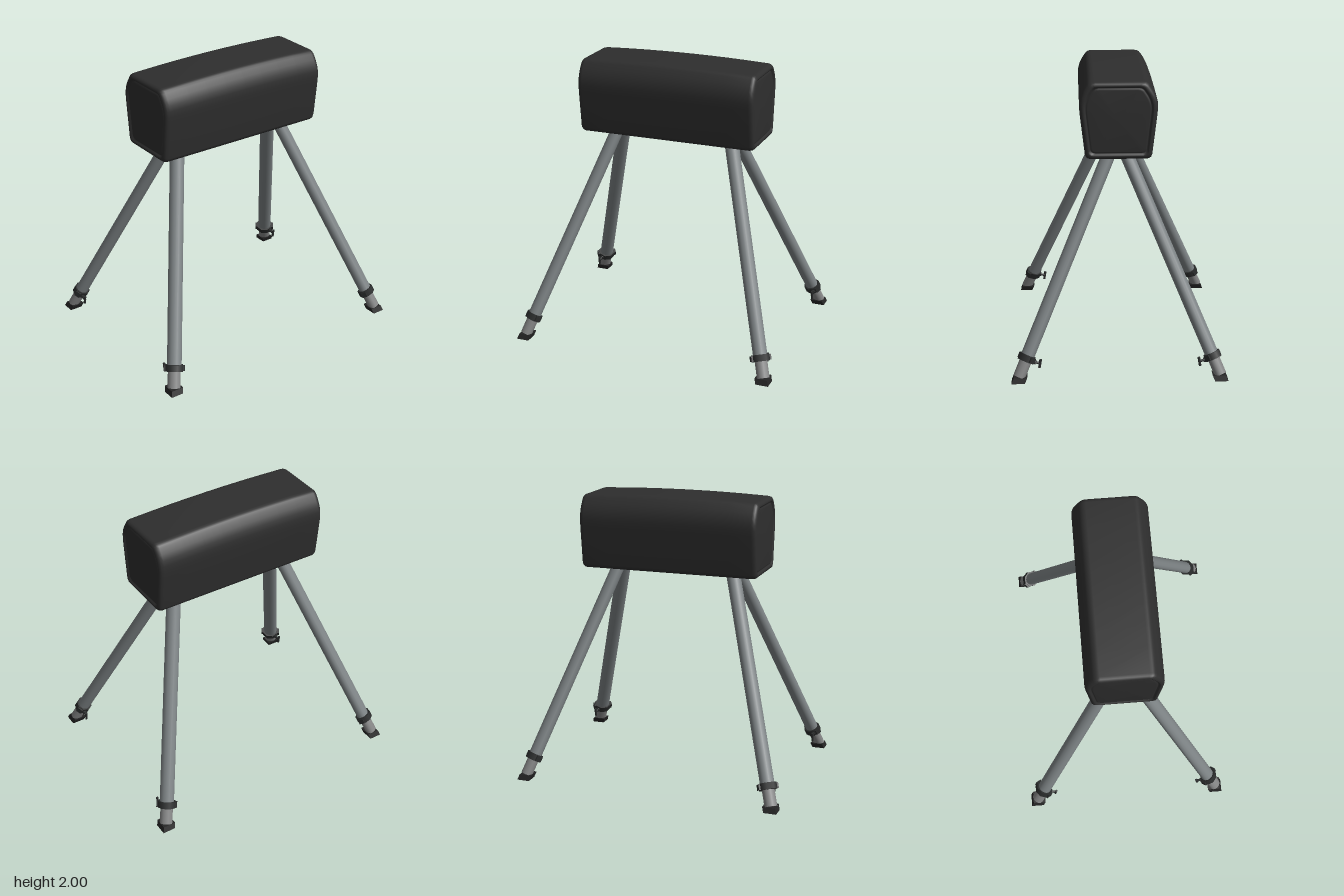
import * as THREE from 'three';

const mat = (name, color) => {
  const m = new THREE.MeshStandardMaterial({ color });
  m.name = name;
  return m;
};

function add(parent, name, geometry, material, x = 0, y = 0, z = 0) {
  const mesh = new THREE.Mesh(geometry, material);
  mesh.name = name;
  mesh.position.set(x, y, z);
  parent.add(mesh);
  return mesh;
}

// Rod between two points
function rod(parent, name, a, b, radius, material) {
  const d = b.clone().sub(a);
  const mesh = add(parent, name, new THREE.CylinderGeometry(radius, radius, d.length(), 8), material);
  mesh.position.copy(a).add(b).multiplyScalar(0.5);
  mesh.quaternion.setFromUnitVectors(new THREE.Vector3(0, 1, 0), d.normalize());
  return mesh;
}

// Padded body: half profile mirrored, then lofted along z with rounded rims
function bodyGeometry() {
  const half = [
    [0.185, 1.463], [0.203, 1.466], [0.217, 1.477], [0.224, 1.495], [0.241, 1.64],
    [0.256, 1.77], [0.26, 1.82], [0.258, 1.86], [0.248, 1.9], [0.23, 1.938],
    [0.206, 1.975], [0.195, 1.988], [0.18, 1.997], [0.16, 2.0],
  ];
  const profile = [...half, ...half.slice().reverse().map(([x, y]) => [-x, y])];
  const n = profile.length;
  // [z, inset] from the seam of the end panel to the middle
  const rim = [[0.64, 0.056], [0.633, 0.046], [0.632, 0.04], [0.642, 0.033], [0.645, 0.025],
    [0.641, 0.013], [0.63, 0.004], [0.612, 0], [0.45, 0], [0.3, 0], [0.15, 0]];
  const sections = [...rim.map(([z, i]) => [-z, i]), [0, 0], ...rim.slice().reverse()];
  const pos = [], index = [];
  for (const [z, inset] of sections) {
    for (const [x, y] of profile) {
      const yy = 1.732 + (y - 1.732) * (1 - inset / 0.268);
      const crown = 0.017 * (z / 0.645) ** 2 * (yy - 1.463) / 0.537;
      pos.push(x * (1 - inset / 0.26), yy - crown, z);
    }
  }
  for (let i = 0; i < sections.length - 1; i++) {
    for (let j = 0; j < n; j++) {
      const a = i * n + j, b = i * n + (j + 1) % n;
      index.push(a, b, b + n, a, b + n, a + n);
    }
  }
  // End panels
  const last = (sections.length - 1) * n, back = sections.length * n;
  pos.push(0, 1.72, -0.643, 0, 1.72, 0.643);
  for (let j = 0; j < n; j++) {
    const k = (j + 1) % n;
    index.push(back, k, j, back + 1, last + j, last + k);
  }
  const g = new THREE.BufferGeometry();
  g.setAttribute('position', new THREE.Float32BufferAttribute(pos, 3));
  g.setIndex(index);
  g.computeVertexNormals();
  return g;
}

export function createModel() {
  const leather = mat('black leather', 0x2e2e2e);
  const steel = mat('grey steel', 0x7d8385);
  const lowerSteel = mat('inner tube steel', 0x858686);
  const iron = mat('dark iron', 0x2b2d2d);
  const rubber = mat('black rubber', 0x252525);

  const model = new THREE.Group();
  model.name = 'vaultingBuck';
  add(model, 'paddedBody', bodyGeometry(), leather);

  for (const sx of [1, -1]) {
    for (const sz of [1, -1]) {
      const leg = new THREE.Group();
      leg.name = (sz > 0 ? 'front' : 'back') + (sx > 0 ? 'Left' : 'Right') + 'Leg';
      model.add(leg);

      // Tilted frame: local y runs up the leg
      const tilt = new THREE.Group();
      tilt.name = 'legTubes';
      const foot = new THREE.Vector3(sx * 0.692, 0, sz * 0.913);
      const up = new THREE.Vector3(sx * 0.055, 1.46, sz * 0.43).sub(foot).normalize();
      const across = new THREE.Vector3(0, 1, 0).cross(up).normalize();
      const radial = across.clone().cross(up);
      tilt.position.copy(foot);
      tilt.quaternion.setFromRotationMatrix(new THREE.Matrix4().makeBasis(across, up, radial));
      leg.add(tilt);

      // Slightly oval outer tube and the narrower sliding tube
      const outer = new THREE.CylinderGeometry(0.05, 0.05, 1.56, 16).scale(1, 1, 0.88);
      add(tilt, 'outerTube', outer, steel, 0, 0.94, 0);
      const inner = new THREE.CylinderGeometry(0.044, 0.044, 0.2, 16).scale(1, 1, 0.88);
      add(tilt, 'slidingTube', inner, lowerSteel, 0, 0.135, 0);

      // Clamp band with ears
      const band = new THREE.CylinderGeometry(0.064, 0.064, 0.046, 8).rotateY(Math.PI / 8).scale(1, 1, 0.9);
      add(tilt, 'clampBand', band, iron, 0, 0.172, 0);
      for (const s of [1, -1]) {
        add(tilt, 'clampEar', new THREE.BoxGeometry(0.022, 0.038, 0.04), iron, s * 0.06, 0.172, 0);
      }

      // Clamp screw with a cross handle
      const p = (x, y, z) => new THREE.Vector3(sx * x, y, sz * z);
      rod(leg, 'clampScrew', p(0.61, 0.138, 0.877), p(0.533, 0.118, 0.885), 0.009, iron);
      rod(leg, 'screwCollar', p(0.595, 0.134, 0.879), p(0.565, 0.126, 0.882), 0.015, iron);
      rod(leg, 'screwHandle', p(0.542, 0.088, 0.885), p(0.532, 0.148, 0.885), 0.009, iron);

      // Rubber foot, a block sheared along the leg
      const shoe = new THREE.BoxGeometry(0.09, 0.036, 0.09).translate(0, 0.018, 0);
      const v = shoe.attributes.position;
      for (let i = 0; i < v.count; i++) {
        const y = v.getY(i);
        v.setX(i, v.getX(i) - sx * y * 0.44);
        v.setZ(i, v.getZ(i) - sz * y * 0.33);
      }
      shoe.computeVertexNormals();
      add(leg, 'rubberFoot', shoe, rubber, sx * 0.684, 0, sz * 0.908);
    }
  }

  // Stand on the floor and keep the sliding tubes above it
  return model;
}
